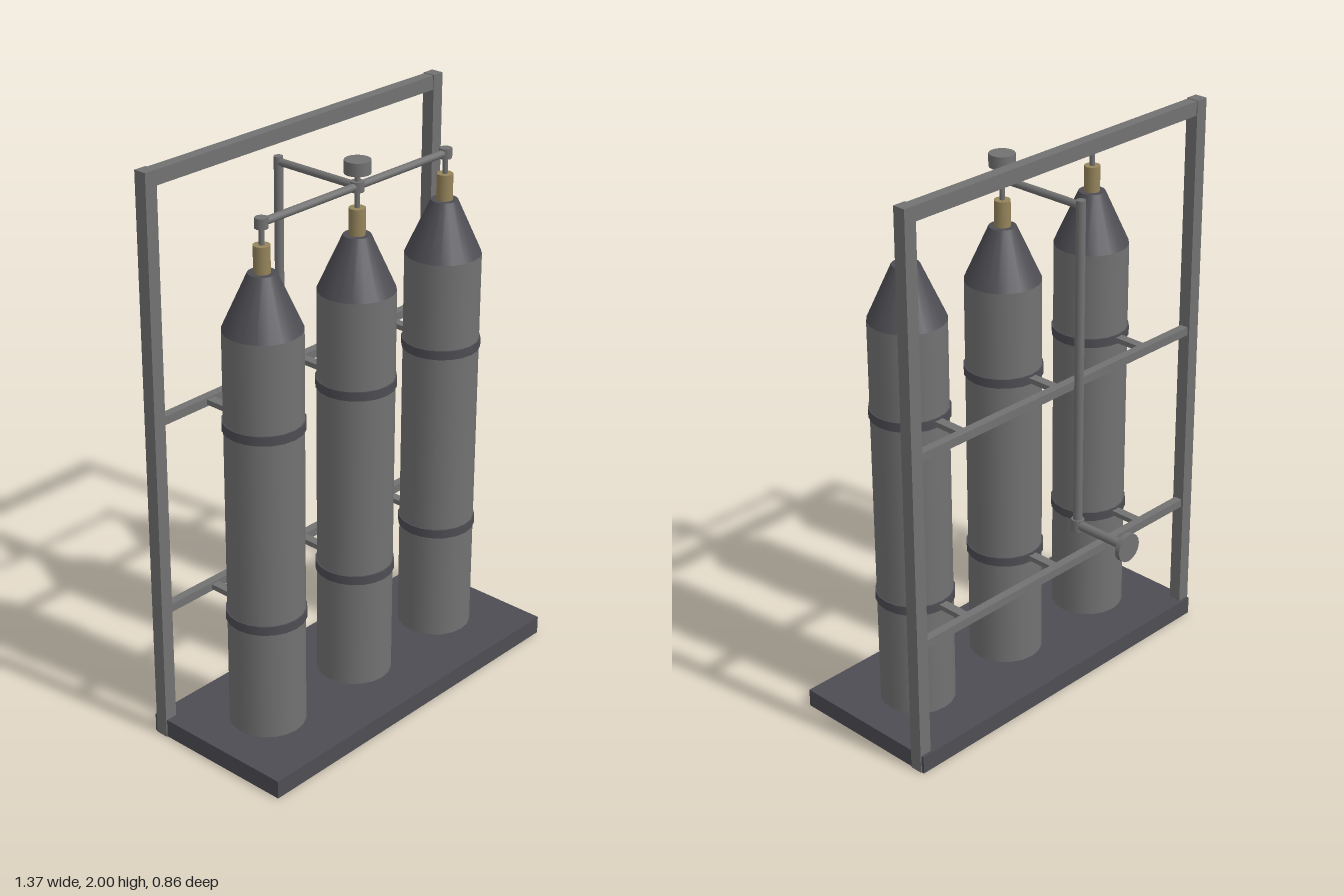
import * as THREE from 'three';

const mat = (name, color) => new THREE.MeshStandardMaterial({ name, color });

export function createModel() {
  const steel = mat('steel grey', 0x727272);
  const dark = mat('dark grey', 0x4e4d53);
  const brass = mat('brass', 0x96855c);

  const model = new THREE.Group();
  model.name = 'gasCylinderRack';
  const tankZ = 0.143, frameZ = -0.109, pipeY = 1.833, dropZ = -0.199, outletY = 0.69;
  const tankXs = [-0.433, 0, 0.433];

  const add = (name, geometry, material, x, y, z, parent = model) => {
    const mesh = new THREE.Mesh(geometry, material);
    mesh.name = name;
    mesh.position.set(x, y, z);
    parent.add(mesh);
    return mesh;
  };
  const box = (name, m, w, h, d, x, y, z) =>
    add(name, new THREE.BoxGeometry(w, h, d), m, x, y, z);
  // Upright cylinder or cone between two heights
  const upright = (name, m, r0, r1, y0, y1, x, z, sides = 12, parent = model) =>
    add(name, new THREE.CylinderGeometry(r1, r0, y1 - y0, sides), m, x, (y0 + y1) / 2, z, parent);
  // Level pipe along the z axis
  const alongZ = (name, m, r, z0, z1, y, sides = 12) => {
    const mesh = add(name, new THREE.CylinderGeometry(r, r, Math.abs(z1 - z0), sides), m, 0, y, (z0 + z1) / 2);
    mesh.rotation.x = Math.PI / 2;
    return mesh;
  };

  // Base plate and back frame
  box('basePlate', dark, 1.366, 0.065, 0.57, 0, 0.0325, 0.143);
  for (const s of [-1, 1]) box('framePost', steel, 0.046, 2, 0.046, s * 0.664, 1, frameZ);
  box('frameTopBar', steel, 1.29, 0.05, 0.04, 0, 1.973, frameZ);

  // Rails across the frame with a bracket to each cylinder
  const strapYs = [0.478, 1.163];
  for (const y of strapYs) {
    box('frameRail', steel, 1.29, 0.03, 0.03, 0, y, frameZ);
    for (const x of tankXs) box('strapBracket', steel, 0.033, 0.018, 0.125, x, y, -0.04);
  }

  // Gas cylinders with straps, valves and risers
  for (const x of tankXs) {
    const tank = new THREE.Group();
    tank.name = 'gasCylinder';
    tank.position.set(x, 0, tankZ);
    model.add(tank);
    upright('cylinderBody', steel, 0.13, 0.13, 0.065, 1.485, 0, 0, 20, tank);
    upright('cylinderShoulder', dark, 0.13, 0.046, 1.485, 1.672, 0, 0, 20, tank);
    for (const y of strapYs) upright('strap', dark, 0.135, 0.135, y - 0.016, y + 0.016, 0, 0, 20, tank);
    upright('valve', brass, 0.028, 0.028, 1.67, 1.762, 0, 0, 12, tank);
    upright('riser', steel, 0.009, 0.009, 1.76, 1.83, 0, 0, 8, tank);
    upright('pipeFitting', steel, 0.022, 0.022, pipeY - 0.018, pipeY + 0.017, 0, 0, 8, tank);
  }

  // Manifold pipe and hand knob
  const manifold = add('manifoldPipe', new THREE.CylinderGeometry(0.013, 0.013, 0.866, 12), steel, 0, pipeY, tankZ);
  manifold.rotation.z = Math.PI / 2;
  upright('knobStem', steel, 0.009, 0.009, pipeY, 1.88, 0, tankZ, 8);
  upright('knob', steel, 0.044, 0.044, 1.877, 1.921, 0, tankZ, 16);

  // Delivery pipe behind the frame, ending in a flange
  alongZ('deliveryPipe', steel, 0.013, tankZ, dropZ, pipeY);
  upright('dropPipe', steel, 0.016, 0.016, outletY, 1.852, 0, dropZ);
  upright('elbowFitting', steel, 0.023, 0.023, outletY - 0.022, outletY + 0.022, 0, dropZ, 8);
  alongZ('outletPipe', steel, 0.016, dropZ, -0.412, outletY);
  alongZ('outletFlange', steel, 0.05, -0.41, -0.428, outletY, 16);

  return model;
}
